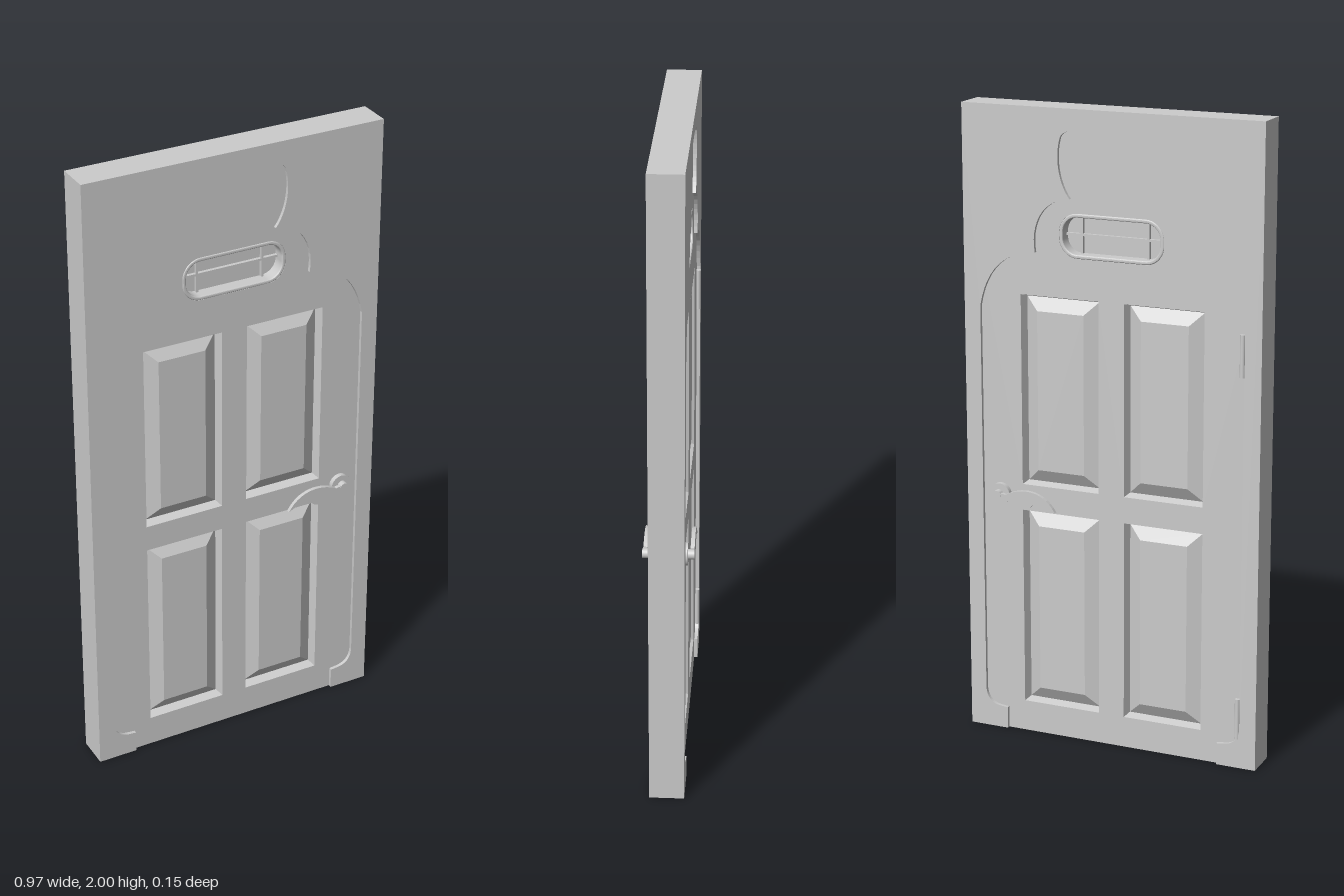
import * as THREE from 'three';

const MID = -0.0015;            // middle of the wall in z
const WALL = 0.107, LEAF = 0.085;

export function createModel() {
  const door = new THREE.Group();
  door.name = 'door';
  const mat = new THREE.MeshStandardMaterial({ color: 0xcccccc });

  const add = (name, geo, x = 0, y = 0, z = 0, parent = door) => {
    const mesh = new THREE.Mesh(geo, mat);
    mesh.name = name;
    mesh.position.set(x, y, z);
    parent.add(mesh);
    return mesh;
  };
  // Extrusion centred on z = 0
  const slab = (shape, depth, bevel = 0) => {
    const g = new THREE.ExtrudeGeometry(shape, {
      depth: depth - 2 * bevel, bevelEnabled: bevel > 0, bevelSize: bevel,
      bevelThickness: bevel, bevelOffset: -bevel, bevelSegments: 3, curveSegments: 14,
    });
    return g.translate(0, 0, -(depth - 2 * bevel) / 2);
  };

  // Stepped outline of the doorway: left half from the floor up, then mirrored
  const half = new THREE.Path();
  half.moveTo(-0.357, 0);
  half.lineTo(-0.357, 0.07);
  half.lineTo(-0.385, 0.073);
  half.quadraticCurveTo(-0.43, 0.08, -0.432, 0.13);
  half.lineTo(-0.432, 1.38);
  half.bezierCurveTo(-0.41, 1.5, -0.345, 1.555, -0.246, 1.56);
  half.bezierCurveTo(-0.26, 1.64, -0.225, 1.725, -0.13, 1.73);
  half.bezierCurveTo(-0.17, 1.78, -0.178, 1.86, -0.16, 1.915);
  half.quadraticCurveTo(-0.152, 1.93, -0.125, 1.936);
  half.quadraticCurveTo(-0.06, 1.948, 0, 1.948);
  const left = half.getPoints(12);
  const outline = [...left, ...left.slice(0, -1).reverse().map(p => new THREE.Vector2(-p.x, p.y))];

  // Surrounding wall with the doorway cut out of its lower edge
  const wall = new THREE.Shape([
    new THREE.Vector2(-0.485, 0), ...outline, new THREE.Vector2(0.485, 0),
    new THREE.Vector2(0.485, 2), new THREE.Vector2(-0.485, 2),
  ]);
  add('surround', slab(wall, WALL), 0, 0, MID);

  // Door leaf, slightly recessed, with openings for the panels and window
  const roundRect = (w, h, r, cy, Type = THREE.Shape) => {
    const s = new Type(), a = w / 2 - r, b = h / 2 - r;
    s.absarc(a, cy + b, r, 0, Math.PI / 2);
    s.absarc(-a, cy + b, r, Math.PI / 2, Math.PI);
    s.absarc(-a, cy - b, r, Math.PI, Math.PI * 1.5);
    s.absarc(a, cy - b, r, Math.PI * 1.5, Math.PI * 2);
    s.closePath();
    return s;
  };
  const rect = (x, y, w, h) => new THREE.Path([
    [x - w / 2, y - h / 2], [x + w / 2, y - h / 2], [x + w / 2, y + h / 2], [x - w / 2, y + h / 2],
  ].map(p => new THREE.Vector2(...p)));

  const panelW = 0.258;
  const panels = [];
  for (const x of [-0.171, 0.171])
    for (const [y0, y1] of [[0.1, 0.738], [0.822, 1.425]]) panels.push([x, (y0 + y1) / 2, y1 - y0]);

  const winY = 1.618;
  const leaf = new THREE.Shape(outline);
  panels.forEach(([x, y, h]) => leaf.holes.push(rect(x, y, panelW, h)));
  leaf.holes.push(roundRect(0.34, 0.137, 0.06, winY, THREE.Path));
  add('leaf', slab(leaf, LEAF), 0, 0, MID);

  // Raised panel: nested rectangles stepping into a groove and up to the field
  const raisedPanel = (w, h) => {
    const rings = [[0, LEAF / 2], [0.009, 0.014], [0.052, 0.037]].map(([i, z]) => {
      const a = w / 2 - i, b = h / 2 - i * 0.95;
      return [[-a, -b, z], [a, -b, z], [a, b, z], [-a, b, z]];
    });
    const pos = [];
    const quad = (a, b, c, d) => pos.push(...a, ...b, ...c, ...a, ...c, ...d);
    for (let r = 0; r < 2; r++)
      for (let k = 0; k < 4; k++) {
        const n = (k + 1) % 4;
        quad(rings[r][k], rings[r][n], rings[r + 1][n], rings[r + 1][k]);
      }
    quad(...rings[2]);
    const g = new THREE.BufferGeometry();
    g.setAttribute('position', new THREE.Float32BufferAttribute(pos, 3));
    g.computeVertexNormals();
    return g;
  };
  panels.forEach(([x, y, h]) => {
    const geo = raisedPanel(panelW, h);
    add('frontPanel', geo, x, y, MID);
    add('backPanel', geo, x, y, MID).rotation.y = Math.PI;
  });

  // Window: rounded trim, pane and glazing bars
  const trim = roundRect(0.34, 0.137, 0.06, 0);
  trim.holes.push(roundRect(0.316, 0.113, 0.048, 0, THREE.Path));
  add('windowTrim', slab(trim, LEAF + 0.004, 0.004), 0, winY, MID);
  add('windowPane', slab(roundRect(0.32, 0.117, 0.05, 0), 0.008), 0, winY, MID);
  add('glazingBar', new THREE.BoxGeometry(0.318, 0.007, 0.03), 0, winY, MID);
  for (const x of [-0.108, 0.108])
    add('glazingBar', new THREE.BoxGeometry(0.007, 0.115, 0.03), x, winY, MID);

  // Lever handle with scalloped underside, one per side
  const lever = new THREE.Shape();
  lever.moveTo(0.176, 0.752);
  lever.quadraticCurveTo(0.222, 0.778, 0.252, 0.768);
  lever.quadraticCurveTo(0.268, 0.746, 0.29, 0.752);
  lever.quadraticCurveTo(0.305, 0.775, 0.345, 0.768);
  lever.quadraticCurveTo(0.37, 0.765, 0.372, 0.785);
  lever.quadraticCurveTo(0.37, 0.797, 0.345, 0.79);
  lever.bezierCurveTo(0.29, 0.822, 0.215, 0.82, 0.176, 0.752);
  const disc = (r, d) => new THREE.CylinderGeometry(r, r, d, 28).rotateX(Math.PI / 2);
  for (const s of [1, -1]) {
    const handle = new THREE.Group();
    handle.name = s > 0 ? 'frontHandle' : 'backHandle';
    add('rosette', disc(0.034, 0.018), 0.373, 0.785, MID + s * 0.049, handle);
    add('spindle', disc(0.015, 0.038), 0.375, 0.785, MID + s * 0.058, handle);
    add('lever', slab(lever, 0.012), 0, 0, MID + s * 0.07, handle);
    door.add(handle);
  }

  // Hinge knuckles on the back
  for (const y of [0.16, 1.305])
    add('hinge', new THREE.CylinderGeometry(0.008, 0.008, 0.13, 16), -0.423, y, -0.05);

  return door;
}
